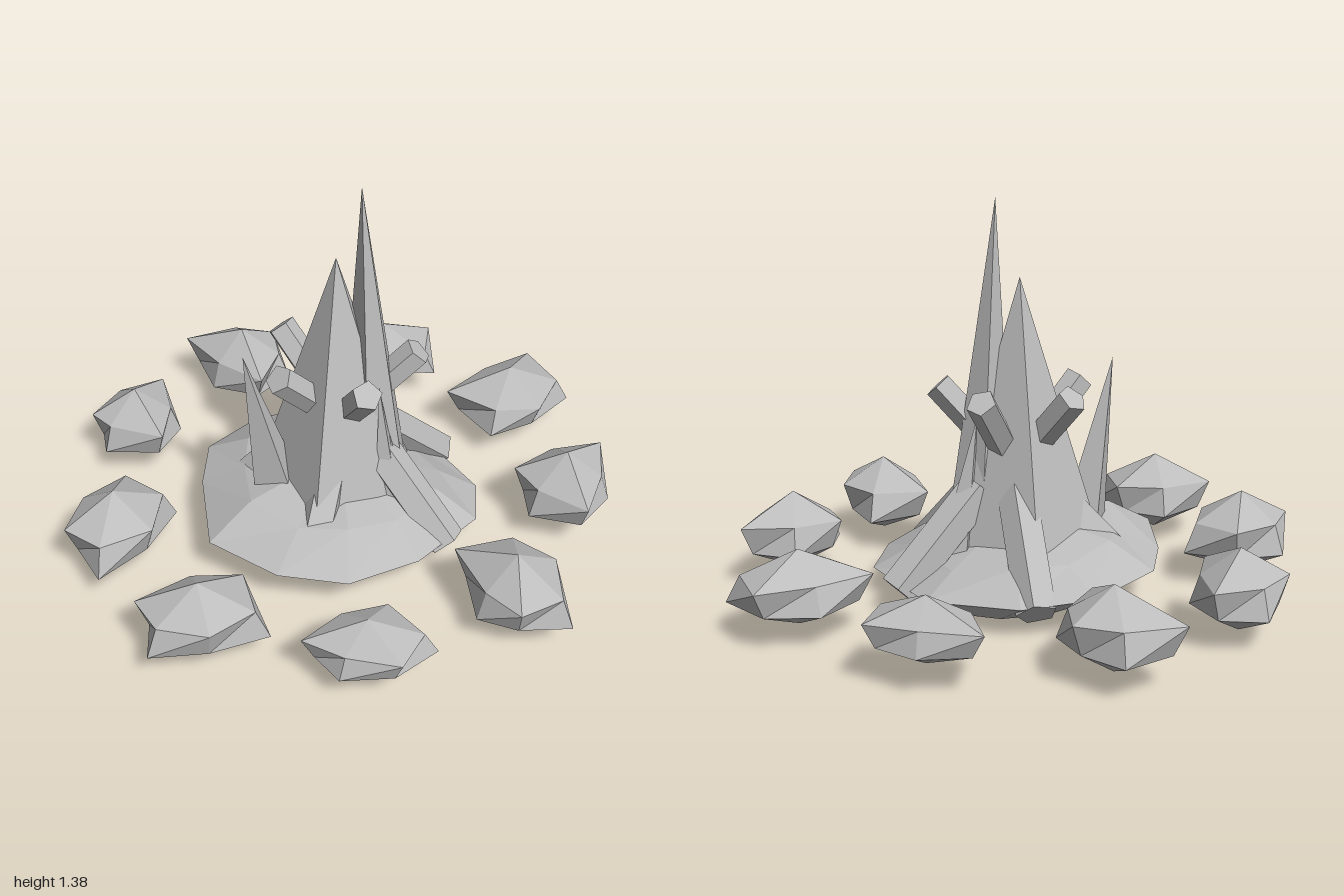
import * as THREE from 'three';

const stone = new THREE.MeshStandardMaterial({ color: 0xbcbcbc, flatShading: true });
stone.name = 'grey stone';

// Closed low-poly solid through rings of [x, y, z], listed from bottom to top.
// A ring of one point closes the solid with a fan.
function loft(rings) {
  const out = [];
  for (let r = 0; r < rings.length - 1; r++) {
    const lo = rings[r], hi = rings[r + 1];
    const n = Math.max(lo.length, hi.length);
    for (let i = 0; i < n; i++) {
      const j = (i + 1) % n;
      if (lo.length > 1) out.push(...lo[i], ...hi[i % hi.length], ...lo[j]);
      if (hi.length > 1) out.push(...hi[i], ...hi[j], ...lo[j % lo.length]);
    }
  }
  const g = new THREE.BufferGeometry();
  g.setAttribute('position', new THREE.Float32BufferAttribute(out, 3));
  g.computeVertexNormals();
  return g;
}

// Average of [x, z] points
function middle(points) {
  return points.reduce((s, p) => [s[0] + p[0] / points.length, s[1] + p[1] / points.length], [0, 0]);
}

// Leaning pyramid: a polygon at height y rising to an apex
function spire(base, y, apex) {
  const [cx, cz] = middle(base);
  return loft([[[cx, y - 0.03, cz]], base.map(([x, z]) => [x, y, z]), [apex]]);
}

function polygon(cx, cz, r, n) {
  return Array.from({ length: n }, (_, i) => {
    const a = (i / n) * Math.PI * 2;
    return [cx + r * Math.cos(a), cz + r * Math.sin(a)];
  });
}

// Five-sided crystal bar between two points
function bar(from, to, r) {
  const a = new THREE.Vector3(...from), b = new THREE.Vector3(...to);
  const g = new THREE.CylinderGeometry(r, r, a.distanceTo(b), 5);
  g.applyQuaternion(new THREE.Quaternion().setFromUnitVectors(
    new THREE.Vector3(0, 1, 0), b.clone().sub(a).normalize()));
  const m = a.add(b).multiplyScalar(0.5);
  return g.translate(m.x, m.y, m.z);
}

// Faceted boulder: six-cornered outline whose corners alternate high and low
function boulder([y0, y1, ...outline]) {
  const [cx, cz] = middle(outline);
  const ring = (level, odd) => outline.map(([x, z], i) => {
    const k = i % 2 === odd ? 1 : 0.8;
    return [cx + (x - cx) * k, y0 + (y1 - y0) * level, cz + (z - cz) * k];
  });
  return loft([[[cx, y0, cz]], ring(0.3, 1), ring(0.66, 0), [[cx, y1, cz]]]);
}

export function createModel() {
  const model = new THREE.Group();
  model.name = 'crystal spire with boulder ring';
  const add = (name, geometry) => {
    const mesh = new THREE.Mesh(geometry, stone);
    mesh.name = name;
    model.add(mesh);
  };

  // Flattened base rock, lower towards the right
  const rim = [
    [0.41, 0.08, 0.25], [0.28, 0.1, 0.4], [-0.03, 0.12, 0.46], [-0.3, 0.14, 0.42],
    [-0.48, 0.16, 0.26], [-0.58, 0.17, 0], [-0.43, 0.17, -0.28], [-0.3, 0.16, -0.44],
    [-0.03, 0.13, -0.505], [0.2, 0.11, -0.42], [0.42, 0.1, -0.18],
  ];
  add('baseRock', loft([
    [[0.06, 0, 0]],
    rim.map(([x, y, z]) => [x * 0.62 + 0.06, y * 0.2, z * 0.62]),
    rim,
    rim.map(([x, , z], i) => [x * 0.7, 0.2 - x * 0.08 + (i % 2) * 0.02, z * 0.7]),
    [[-0.02, 0.3, 0]],
  ]));

  // Central spires
  add('tallSpire', spire(
    [[0.22, 0.08], [0.11, 0.22], [-0.03, 0.18], [0, -0.04], [0.16, -0.08]],
    0.15, [0.035, 1.375, 0.04]));
  add('broadSpire', spire(
    [[0.26, 0.04], [0.1, 0.25], [-0.29, 0.21], [-0.26, -0.2], [0.06, -0.3]],
    0.16, [-0.03, 1.11, -0.01]));

  // Thin shards around the spires
  add('leftShard', spire(polygon(-0.24, -0.07, 0.1, 4), 0.18, [-0.36, 0.815, -0.08]));
  add('frontShard', spire(polygon(0.04, 0.2, 0.06, 4), 0.18, [0.03, 0.65, 0.15]));
  add('rightShard', spire(polygon(0.21, 0, 0.07, 4), 0.18, [0.13, 0.64, 0]));

  // Five crystals pointing up and five leaning on the base
  for (let i = 0; i < 5; i++) {
    const up = (i * 72 + 36) * Math.PI / 180;
    const low = i * 72 * Math.PI / 180;
    const at = (a, r, y, dx) => [dx + r * Math.cos(a), y, r * Math.sin(a)];
    add('upperCrystal', bar(at(up, 0.08, 0.54, -0.015), at(up, 0.26, 0.735, -0.015), 0.052));
    add('lowerCrystal', bar(at(low, 0.12, 0.395, 0), at(low, 0.43, 0.08, 0), 0.07));
  }

  // Ring of boulders: bottom, top, then the outline as [x, z] corners
  [
    [0.03, 0.31, [-0.04, -1], [0.17, -0.98], [0.26, -0.83], [0.22, -0.67], [0.04, -0.59], [-0.06, -0.78]],
    [0.06, 0.28, [0.51, -0.75], [0.68, -0.64], [0.785, -0.49], [0.68, -0.32], [0.49, -0.45], [0.42, -0.57]],
    [0.04, 0.295, [0.575, -0.12], [0.785, -0.18], [0.985, -0.12], [1, 0.1], [0.785, 0.17], [0.61, 0.1]],
    [0.04, 0.32, [0.47, 0.38], [0.66, 0.35], [0.815, 0.46], [0.71, 0.62], [0.52, 0.705], [0.42, 0.52]],
    [0.03, 0.31, [0.04, 0.56], [0.26, 0.6], [0.28, 0.8], [0.18, 1], [0.01, 0.93], [-0.045, 0.78]],
    [0.06, 0.28, [-0.61, 0.58], [-0.44, 0.53], [-0.29, 0.62], [-0.24, 0.82], [-0.42, 0.86], [-0.57, 0.73]],
    [0.03, 0.32, [-0.95, 0.13], [-0.73, 0.11], [-0.6, 0.24], [-0.63, 0.44], [-0.84, 0.41], [-1, 0.28]],
    [0.03, 0.32, [-0.97, -0.3], [-0.85, -0.44], [-0.66, -0.42], [-0.56, -0.25], [-0.73, -0.12], [-0.95, -0.12]],
    [0.03, 0.31, [-0.58, -0.8], [-0.42, -0.9], [-0.255, -0.83], [-0.3, -0.64], [-0.44, -0.53], [-0.595, -0.69]],
  ].forEach((b) => add('boulder', boulder(b)));

  return model;
}
